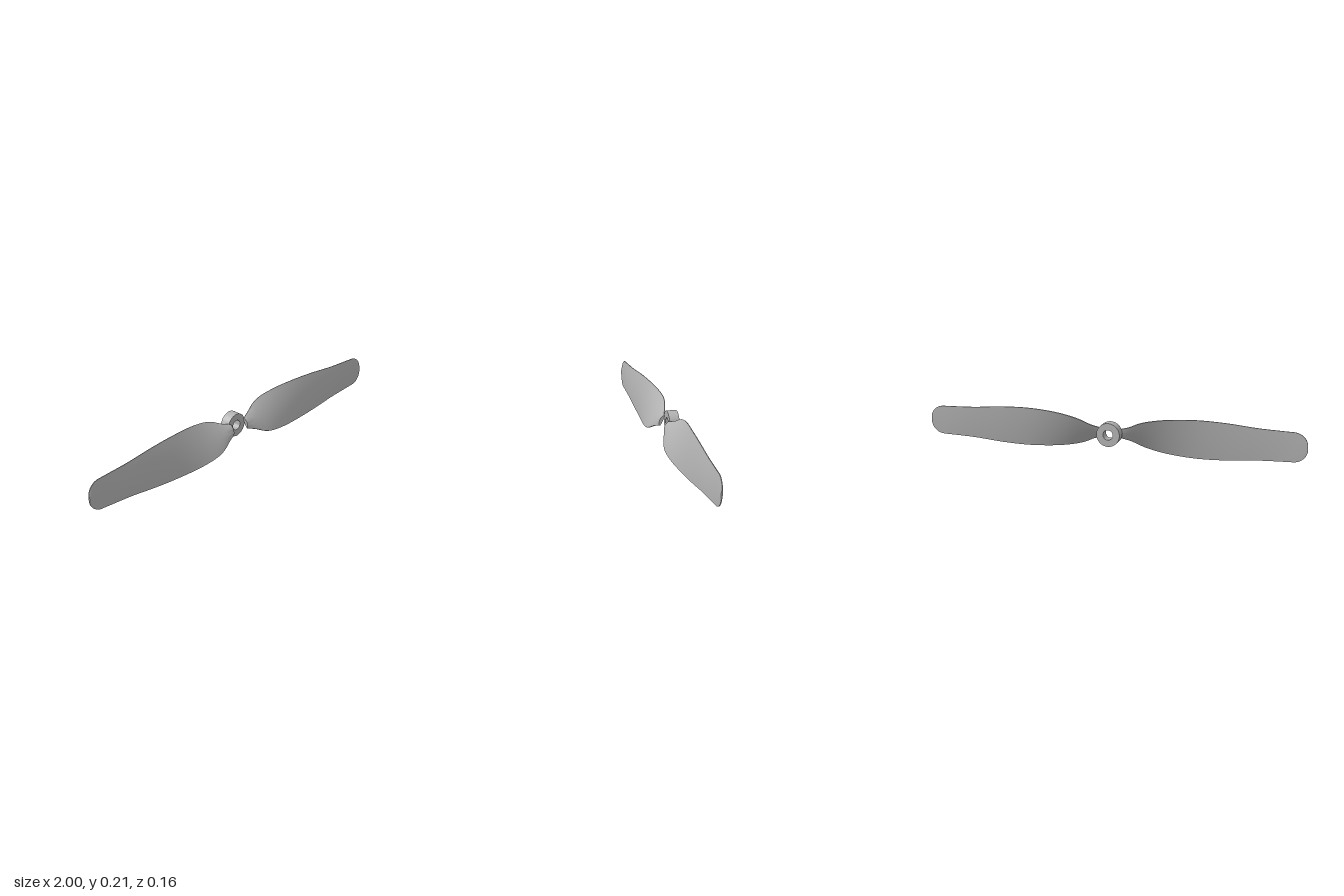
import * as THREE from 'three';
import { toCreasedNormals } from 'three/addons/utils/BufferGeometryUtils.js';

// Blade stations: distance from axis, half height, half depth of the twisted chord
const STATIONS = [
  [0.05, 0.026, 0.012], [0.1, 0.042, 0.028], [0.15, 0.066, 0.041], [0.2, 0.082, 0.045],
  [0.3, 0.098, 0.038], [0.45, 0.105, 0.024], [0.6, 0.099, 0.016], [0.75, 0.085, 0.011],
  [0.85, 0.08, 0.008], [0.93, 0.077, 0.005],
];

// Lofted, twisted blade; side is +1 or -1 (mirrored)
function bladeGeometry(side) {
  const curve = new THREE.CatmullRomCurve3(STATIONS.map((p) => new THREE.Vector3(...p)));
  const sections = curve.getPoints(45);
  // Rounded tip
  for (let i = 1; i <= 8; i++) {
    const a = (i / 8) * 1.45;
    const k = 0.13 + 0.87 * Math.cos(a);
    sections.push(new THREE.Vector3(0.93 + 0.072 * Math.sin(a), 0.077 * k, 0.005 * k));
  }
  const half = 10, ring = 2 * (half + 1);
  const pos = [], idx = [];
  const tri = (a, b, c) => (side > 0 ? idx.push(a, b, c) : idx.push(a, c, b));

  sections.forEach(({ x, y: h, z: w }) => {
    const len = Math.hypot(h, w);
    const t = THREE.MathUtils.lerp(0.018, 0.006, Math.min(1, x));
    for (let j = 0; j < ring; j++) {
      const front = j <= half;
      const s = front ? 1 - (2 * j) / half : -1 + (2 * (j - half - 1)) / half;
      const bulge = 1 - s * s;
      const off = front ? 0.002 + 0.6 * t * bulge : -0.002 - 0.2 * t * bulge;
      pos.push(side * x, s * h + (off * w) / len, -s * w + (off * h) / len);
    }
  });

  for (let i = 0; i < sections.length - 1; i++) {
    for (let j = 0; j < ring; j++) {
      const a = i * ring + j, b = i * ring + ((j + 1) % ring);
      tri(a, b, b + ring);
      tri(a, b + ring, a + ring);
    }
  }
  // Root and tip caps
  const last = (sections.length - 1) * ring;
  for (let j = 1; j < ring - 1; j++) {
    tri(0, j + 1, j);
    tri(last, last + j, last + j + 1);
  }
  const geo = new THREE.BufferGeometry();
  geo.setAttribute('position', new THREE.Float32BufferAttribute(pos, 3));
  geo.setIndex(idx);
  return toCreasedNormals(geo, 0.6);
}

export function createModel() {
  const group = new THREE.Group();
  group.name = 'propeller';
  const grey = new THREE.MeshStandardMaterial({ color: 0xb2b2b2 });
  grey.name = 'light grey';

  // Slightly tilted assembly
  const assembly = new THREE.Group();
  assembly.name = 'tiltedAssembly';
  assembly.position.y = 0.109;
  assembly.rotation.set(0, 0.075, 0.003);
  group.add(assembly);

  for (const side of [1, -1]) {
    const blade = new THREE.Mesh(bladeGeometry(side), grey);
    blade.name = side > 0 ? 'leftBlade' : 'rightBlade';
    blade.position.z = -0.003;
    assembly.add(blade);
  }

  // Hub ring with shaft hole, set behind the blade roots
  const outline = new THREE.Shape().absarc(0, 0, 0.061, 0, Math.PI * 2, false);
  outline.holes.push(new THREE.Path().absarc(0, 0, 0.026, 0, Math.PI * 2, true));
  const hubGeo = new THREE.ExtrudeGeometry(outline, { depth: 0.052, bevelEnabled: false, curveSegments: 32 });
  const hub = new THREE.Mesh(toCreasedNormals(hubGeo, 0.6), grey);
  hub.name = 'hub';
  hub.position.set(-0.002, 0.004, -0.069);
  assembly.add(hub);

  return group;
}
